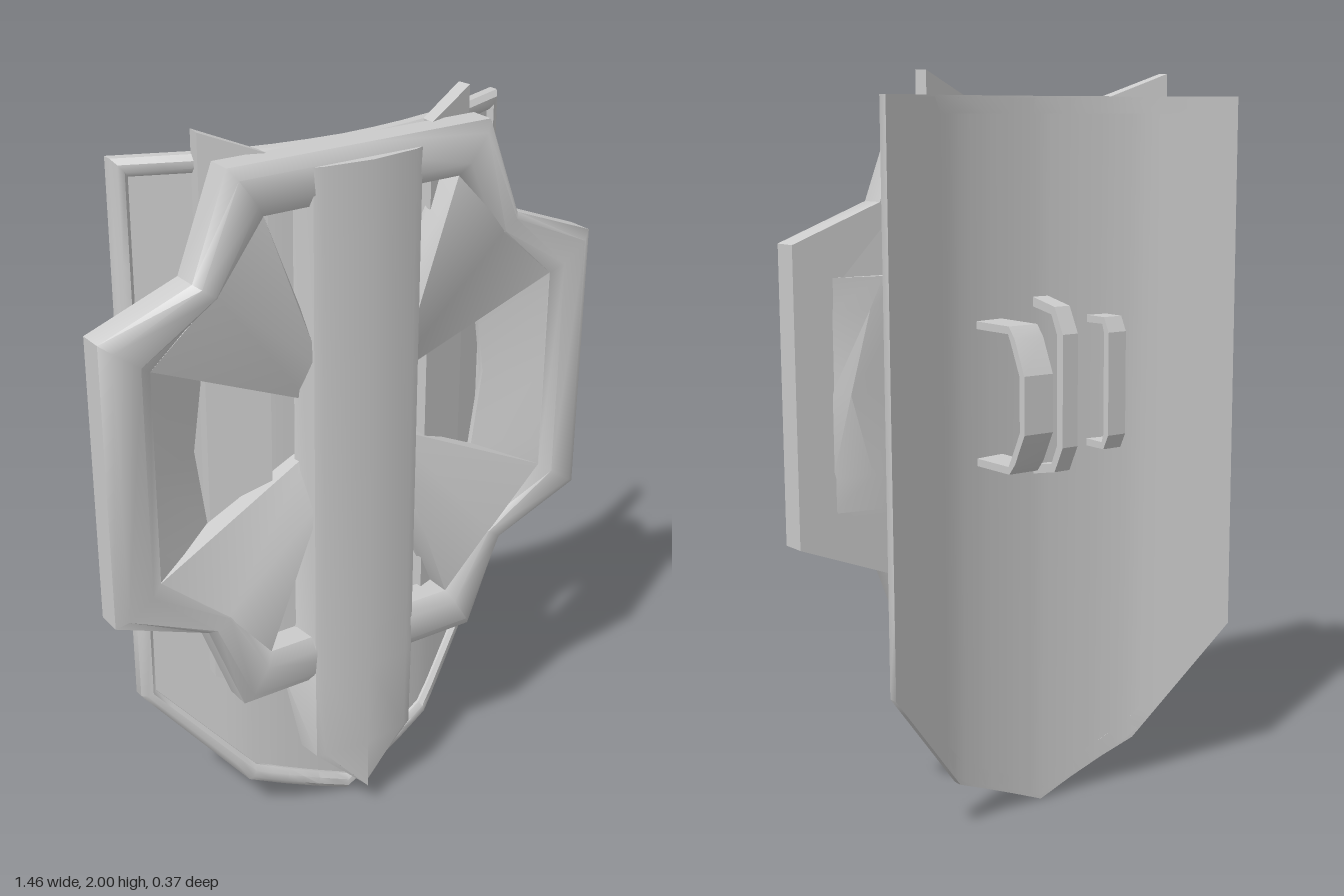
import * as THREE from 'three';
import { toCreasedNormals } from 'three/addons/utils/BufferGeometryUtils.js';

const material = new THREE.MeshStandardMaterial({ color: 0xcccccc, side: THREE.DoubleSide });

// Skin a row of equal-sized closed cross-sections; faces are turned outward by signed volume.
function loft(name, sections, { loop = false, crease = 0.7 } = {}) {
  const tris = [];
  const n = sections[0].length;
  const rows = loop ? sections.length : sections.length - 1;
  for (let i = 0; i < rows; i++) {
    const a = sections[i], b = sections[(i + 1) % sections.length];
    for (let j = 0; j < n; j++) {
      const k = (j + 1) % n;
      tris.push([a[j], b[j], b[k]], [a[j], b[k], a[k]]);
    }
  }
  if (!loop) {
    const first = sections[0], last = sections[sections.length - 1];
    for (let j = 1; j < n - 1; j++) {
      tris.push([first[0], first[j], first[j + 1]], [last[0], last[j + 1], last[j]]);
    }
  }
  const vec = (p) => new THREE.Vector3(...p);
  let volume = 0;
  for (const [a, b, c] of tris) volume += vec(a).dot(vec(b).cross(vec(c)));
  const ordered = volume < 0 ? tris.map(([a, b, c]) => [a, c, b]) : tris;
  const geometry = new THREE.BufferGeometry();
  geometry.setAttribute('position', new THREE.Float32BufferAttribute(ordered.flat(2), 3));
  const mesh = new THREE.Mesh(toCreasedNormals(geometry, crease), material);
  mesh.name = name;
  return mesh;
}

// Piecewise-linear lookup through [input, output] pairs.
function lerpTable(table, v) {
  for (let i = 1; i < table.length; i++) {
    const [x0, y0] = table[i - 1], [x1, y1] = table[i];
    if (v <= x1) return y0 + ((y1 - y0) * (v - x0)) / (x1 - x0);
  }
  return table[table.length - 1][1];
}

// Back face of the curved shield
const backZ = (x) => lerpTable([[0, 0.045], [0.1, 0.039], [0.2, 0.026], [0.3, 0.005], [0.57, -0.105]], Math.abs(x));
const bottomY = (x) => lerpTable([[0, 0.01], [0.3, 0.135], [0.565, 0.45]], Math.abs(x));

// Complete a right-half list of [outer, inner] pairs into a closed loop.
function mirrorLoop(half) {
  const flip = ([x, y]) => [-x, y];
  return [...half, ...half.slice(1, -1).reverse().map((pair) => pair.map(flip))];
}

// Insert evenly spaced pairs between the corners of a closed loop.
function subdivide(pairs, steps) {
  const mix = (a, b, t) => a.map((v, i) => v + (b[i] - v) * t);
  return pairs.flatMap((p, i) => {
    const q = pairs[(i + 1) % pairs.length];
    return Array.from({ length: steps }, (_, s) => [mix(p[0], q[0], s / steps), mix(p[1], q[1], s / steps)]);
  });
}

function shield() {
  const group = new THREE.Group();
  group.name = 'shield';
  const columns = [];
  for (let i = -14; i <= 14; i++) {
    const x = (i / 14) * 0.56;
    const z = backZ(x), y = bottomY(x) + 0.004;
    columns.push([[x, y, z], [x, y, z + 0.02], [x, 1.935, z + 0.02], [x, 1.935, z]]);
  }
  group.add(loft('shieldPlate', columns));

  // Raised rounded border
  const border = subdivide(mirrorLoop([
    [[0, 1.94], [0, 1.895]], [[0.567, 1.94], [0.53, 1.895]], [[0.567, 0.45], [0.53, 0.465]],
    [[0.3, 0.132], [0.28, 0.18]], [[0, 0.005], [0, 0.055]],
  ]), 6);
  group.add(loft('shieldRim', border.map(([o, n]) => {
    const at = (t, dz) => {
      const x = o[0] + (n[0] - o[0]) * t, y = o[1] + (n[1] - o[1]) * t;
      return [x, y, backZ(x) + dz];
    };
    return [at(0, 0), at(0, 0.027), at(0.3, 0.04), at(0.7, 0.04), at(1, 0.028), at(1, 0)];
  }), { loop: true }));
  return group;
}

function frame() {
  const group = new THREE.Group();
  group.name = 'frontFrame';
  // Stepped outer band
  const band = mirrorLoop([
    [[0, 1.94], [0, 1.81]], [[0.38, 1.94], [0.285, 1.81]], [[0.48, 1.68], [0.41, 1.63]],
    [[0.73, 1.585], [0.6, 1.49]], [[0.73, 0.83], [0.6, 0.92]], [[0.47, 0.73], [0.4, 0.78]],
    [[0.37, 0.475], [0.285, 0.61]], [[0, 0.475], [0, 0.61]],
  ]);
  group.add(loft('frameBand', band.map(([o, n]) => {
    const at = (t, z) => [o[0] + (n[0] - o[0]) * t, o[1] + (n[1] - o[1]) * t, z];
    return [at(0, 0.068), at(0, 0.138), at(0.22, 0.158), at(0.75, 0.16), at(1, 0.14), at(1, 0.068)];
  }), { loop: true, crease: 0.8 }));

  for (const s of [1, -1]) {
    const side = (points) => points.map(([x, y, z]) => [s * x, y, z]);
    // Ridged arms running from the band corners to the spine
    group.add(loft('upperArm', [
      side([[0.285, 1.81, 0.068], [0.285, 1.81, 0.14], [0.43, 1.65, 0.158], [0.6, 1.49, 0.14], [0.6, 1.49, 0.068]]),
      side([[0.13, 1.5, 0.05], [0.13, 1.48, 0.085], [0.13, 1.39, 0.15], [0.13, 1.28, 0.085], [0.13, 1.28, 0.05]]),
    ], { crease: 0.8 }));
    group.add(loft('lowerArm', [
      side([[0.285, 0.61, 0.068], [0.285, 0.61, 0.14], [0.42, 0.77, 0.158], [0.6, 0.92, 0.14], [0.6, 0.92, 0.068]]),
      side([[0.13, 0.91, 0.05], [0.13, 0.93, 0.085], [0.13, 1.02, 0.15], [0.13, 1.13, 0.085], [0.13, 1.13, 0.05]]),
    ], { crease: 0.8 }));
    // Sloping wall inside each side window, with a pointed back edge: [y, inner x, outer x]
    const wall = [[1.5, 0.4, 0.49], [1.42, 0.42, 0.53], [1.21, 0.45, 0.59], [1.0, 0.42, 0.53], [0.91, 0.4, 0.49]];
    group.add(loft('windowWall', wall.map(([y, inner, outer]) => side([
      [0.605, y, 0.14], [inner, y, 0.06], [inner, y, 0.045], [outer, y, 0.042], [0.63, y, 0.07],
    ])), { crease: 0.5 }));
  }
  return group;
}

// Central spine with a soft front ridge and a pointed foot: [y, back half width, front half width, back z]
function spine() {
  const rows = [[1.91, 0.16, 0.158, 0.07], [0.62, 0.165, 0.158, 0.07], [0.48, 0.21, 0.158, 0.07],
    [0.23, 0.162, 0.155, 0.09], [0.08, 0.004, 0.002, 0.1]];
  return loft('spine', rows.map(([y, b, f, z]) => [
    [-b, y, z], [-f, y, 0.158], [-f * 0.85, y, 0.167], [0, y, 0.182], [f * 0.85, y, 0.167], [f, y, 0.158], [b, y, z],
  ]), { crease: 0.6 });
}

// Tilted strip on each side, between the shield and the frame
function sidePlate(s) {
  const plate = loft('sidePlate', [
    [[s * 0.24, 0.44, 0.045], [s * 0.24, 0.44, 0.085], [s * 0.24, 1.94, 0.085], [s * 0.24, 1.94, 0.045]],
    [[s * 0.39, 0.51, -0.01], [s * 0.395, 0.51, 0.03], [s * 0.395, 2.0, 0.03], [s * 0.39, 2.0, -0.01]],
  ], { crease: 0.3 });
  return plate;
}

// Grip: a strip following a (z, y) path with a flat rectangular section
function grip(name, x, width, thick, path) {
  const middle = path.reduce((sum, p) => sum + p[1], 0) / path.length;
  const sections = path.map(([z, y], i) => {
    const [z0, y0] = path[Math.max(i - 1, 0)], [z1, y1] = path[Math.min(i + 1, path.length - 1)];
    const len = Math.hypot(z1 - z0, y1 - y0);
    const nz = (-(y1 - y0) / len) * thick, ny = ((z1 - z0) / len) * thick;
    const sign = nz * -z + ny * (middle - y) >= 0 ? 1 : -1;
    const h = width / 2;
    return [[x - h, y, z], [x + h, y, z], [x + h, y + sign * ny, z + sign * nz], [x - h, y + sign * ny, z + sign * nz]];
  });
  return loft(name, sections, { crease: 0.4 });
}

function grips() {
  const group = new THREE.Group();
  group.name = 'backGrips';
  group.add(grip('armLoop', 0.18, 0.09, 0.02, [
    [0.04, 1.37], [-0.12, 1.37], [-0.145, 1.34], [-0.185, 1.25], [-0.185, 1.1], [-0.145, 1.02], [-0.12, 0.99], [0.04, 0.99],
  ]));
  group.add(grip('centreHandle', 0, 0.05, 0.025, [
    [0.05, 1.42], [-0.05, 1.4], [-0.085, 1.33], [-0.085, 1.03], [-0.05, 0.96], [0.05, 0.94],
  ]));
  group.add(grip('handHandle', -0.18, 0.06, 0.02, [
    [0.04, 1.36], [-0.04, 1.36], [-0.06, 1.32], [-0.06, 1.04], [-0.04, 1.0], [0.04, 1.0],
  ]));
  return group;
}

export function createModel() {
  const model = new THREE.Group();
  model.name = 'shieldModel';
  model.add(shield(), frame(), spine(), sidePlate(1), sidePlate(-1), grips());
  return model;
}
